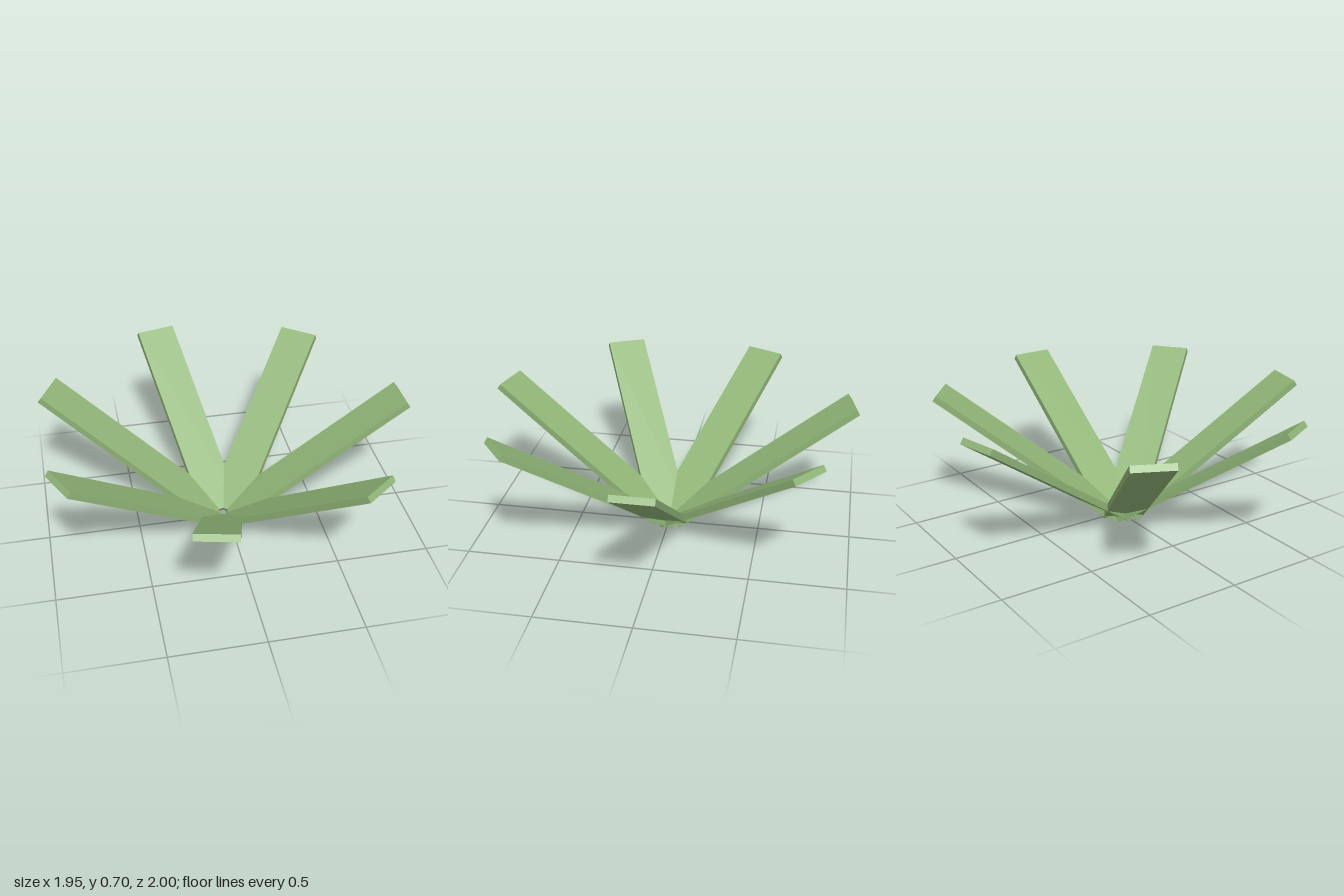
import * as THREE from 'three';

export function createModel() {
  const model = new THREE.Group();
  model.name = 'bladeRosette';

  const count = 7, length = 1.167, thickness = 0.035, width = 0.218;
  const tilt = THREE.MathUtils.degToRad(35);
  const innerRadius = 0.045; // lower inner edge of each blade
  const material = new THREE.MeshStandardMaterial({ color: 0x90b577 });

  // Flat blade whose lower inner edge sits on the origin
  const bladeGeometry = new THREE.BoxGeometry(length, thickness, width);
  bladeGeometry.translate(length / 2, thickness / 2, 0);

  // Blades fan outward and upward around a common centre
  const rosette = new THREE.Group();
  rosette.name = 'blades';
  rosette.position.x = -0.026;
  for (let i = 0; i < count; i++) {
    const arm = new THREE.Group();
    arm.name = `bladeArm${i + 1}`;
    arm.rotation.y = (i * Math.PI * 2) / count;
    const blade = new THREE.Mesh(bladeGeometry, material);
    blade.name = 'blade';
    blade.position.x = innerRadius;
    blade.rotation.z = tilt;
    arm.add(blade);
    rosette.add(arm);
  }
  model.add(rosette);
  return model;
}
